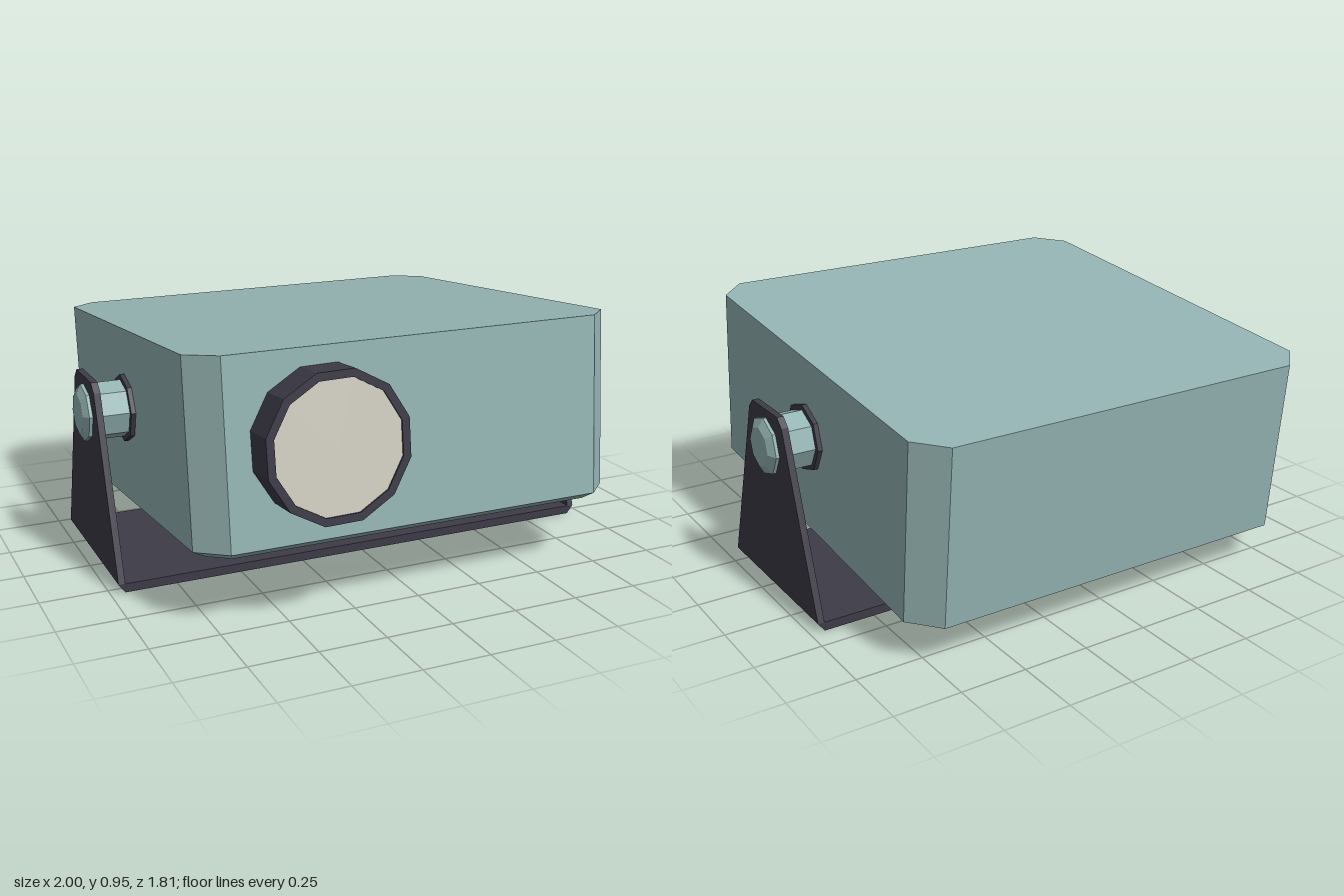
import * as THREE from 'three';

const mat = (name, color) => {
  const m = new THREE.MeshStandardMaterial({ color });
  m.name = name;
  return m;
};

// Hard-edged version of a geometry
function faceted(geo) {
  const g = geo.index ? geo.toNonIndexed() : geo;
  g.computeVertexNormals();
  return g;
}

function add(parent, name, geo, material) {
  const mesh = new THREE.Mesh(faceted(geo), material);
  mesh.name = name;
  parent.add(mesh);
  return mesh;
}

// Rectangle with cut corners at height y, counter-clockwise seen from above
function cutRect(y, hx, z0, z1, cut) {
  return [
    [hx - cut, y, z1], [hx, y, z1 - cut], [hx, y, z0 + cut], [hx - cut, y, z0],
    [-hx + cut, y, z0], [-hx, y, z0 + cut], [-hx, y, z1 - cut], [-hx + cut, y, z1],
  ];
}

// Closed solid through a stack of rings, bottom to top
function loft(rings) {
  const n = rings[0].length, pos = [];
  const tri = (a, b, c) => pos.push(...a, ...b, ...c);
  for (let r = 0; r < rings.length - 1; r++) {
    for (let i = 0; i < n; i++) {
      const j = (i + 1) % n, lo = rings[r], hi = rings[r + 1];
      tri(lo[i], lo[j], hi[j]);
      tri(lo[i], hi[j], hi[i]);
    }
  }
  const bottom = rings[0], top = rings[rings.length - 1];
  for (let i = 1; i < n - 1; i++) {
    tri(top[0], top[i], top[i + 1]);
    tri(bottom[0], bottom[i + 1], bottom[i]);
  }
  const g = new THREE.BufferGeometry();
  g.setAttribute('position', new THREE.Float32BufferAttribute(pos, 3));
  return g;
}

// Flat outline in (z, y), extruded along +x from x0 by depth
function sidePlate(points, x0, depth) {
  const shape = new THREE.Shape(points.map(([z, y]) => new THREE.Vector2(-z, y)));
  const g = new THREE.ExtrudeGeometry(shape, { depth, bevelEnabled: false });
  g.rotateY(Math.PI / 2);
  g.translate(x0, 0, 0);
  return g;
}

// Eight-sided turned part along +x, profile given as [radius, x]
function turned(profile) {
  const g = new THREE.LatheGeometry(profile.map(([r, x]) => new THREE.Vector2(r, x)), 8);
  return g.rotateZ(-Math.PI / 2);
}

export function createModel() {
  const model = new THREE.Group();
  model.name = 'tiltingProjector';
  const teal = mat('tealCasing', 0x94b4b3);
  const dark = mat('darkMetal', 0x3d3b47);
  const cream = mat('creamGlass', 0xd3d0c3);

  // Tilted head, turning about the side bolts
  const head = new THREE.Group();
  head.name = 'head';
  head.position.set(0, 0.583, -0.06);
  head.rotation.x = -0.089;
  model.add(head);

  add(head, 'casing', loft([
    cutRect(-0.394, 0.765, -0.77, 0.76, 0.07),
    cutRect(-0.366, 0.815, -0.82, 0.808, 0.1),
    cutRect(0.3, 0.815, -0.82, 0.808, 0.1),
  ]), teal);

  // Twelve-sided lens barrel with a thin rim and glass
  const lens = new THREE.Group();
  lens.name = 'lens';
  lens.position.set(-0.37, -0.02, 0);
  lens.rotation.z = 0.28;
  head.add(lens);
  const barrel = [[0.265, 0.79], [0.265, 0.945], [0.236, 0.945], [0.236, 0.93]];
  add(lens, 'lensBarrel', new THREE.LatheGeometry(
    barrel.map(([r, y]) => new THREE.Vector2(r, y)), 12).rotateX(Math.PI / 2), dark);
  add(lens, 'lensGlass', new THREE.CylinderGeometry(0.238, 0.238, 0.008, 12)
    .rotateX(Math.PI / 2).translate(0, 0, 0.934), cream);

  // Pivot bolts with washers, one each side
  for (const side of [1, -1]) {
    const pivot = new THREE.Group();
    pivot.name = side > 0 ? 'leftPivot' : 'rightPivot';
    pivot.rotation.y = side > 0 ? 0 : Math.PI;
    head.add(pivot);
    add(pivot, 'washer', turned([[0, 0.8], [0.128, 0.8], [0.128, 0.832], [0, 0.832]]), dark);
    add(pivot, 'boltAndKnob', turned([
      [0, 0.82], [0.108, 0.82], [0.108, 0.982], [0.075, 1.0], [0, 1.0],
    ]), teal);
  }

  // U-shaped mounting bracket
  const bracket = new THREE.Group();
  bracket.name = 'bracket';
  model.add(bracket);
  const outline = [
    [0.29, 0.033], [0.075, 0.69], [0.043, 0.722], [-0.165, 0.722], [-0.198, 0.69], [-0.412, 0.033],
  ];
  add(bracket, 'leftArm', sidePlate(outline, 0.945, 0.025), dark);
  add(bracket, 'rightArm', sidePlate(outline, -0.97, 0.025), dark);
  const base = new THREE.Shape([
    [-0.945, 0], [0.945, 0], [0.97, 0.033], [-0.97, 0.033],
  ].map(([x, y]) => new THREE.Vector2(x, y)));
  add(bracket, 'bracketBase', new THREE.ExtrudeGeometry(base, { depth: 0.702, bevelEnabled: false })
    .translate(0, 0, -0.412), dark);

  return model;
}
